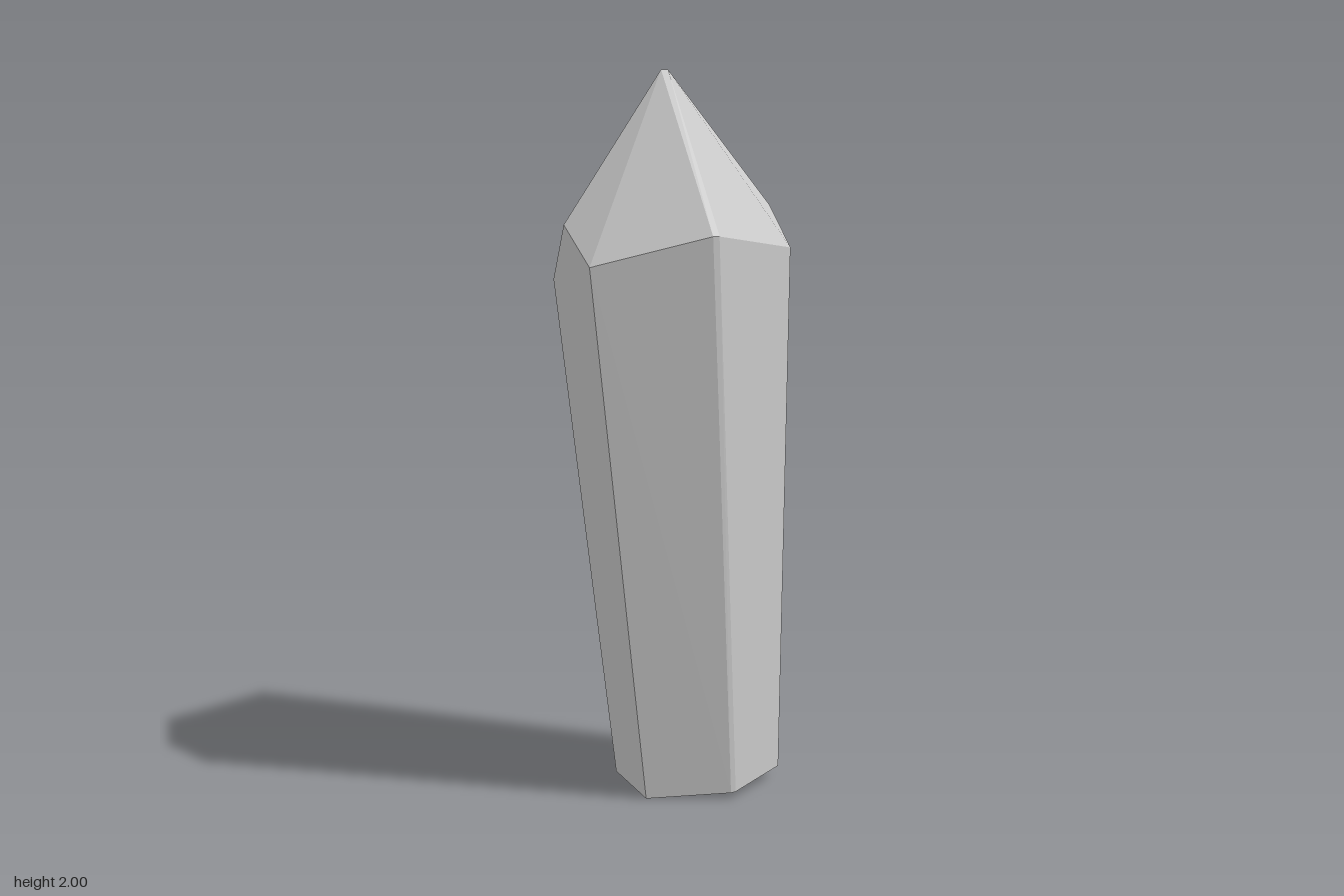
import * as THREE from 'three';
import { ConvexGeometry } from 'three/addons/geometries/ConvexGeometry.js';

// Leaning six-sided crystal: a convex solid defined by its rings of corners.
export function createModel() {
  // Slanted foot; front and back corners are doubled to give a narrow worn edge
  const foot = [
    [0.107, 0.02, 0.24], [0.122, 0.021, 0.239],
    [0.306, 0.035, 0.137], [0.306, 0.035, -0.09],
    [0.12, 0.021, -0.262], [0.103, 0.02, -0.265],
    [-0.108, 0, -0.09], [-0.108, 0, 0.14],
  ];
  // Shoulder where the shaft meets the point
  const shoulder = [
    [-0.006, 1.57, 0.348], [0.012, 1.57, 0.348],
    [0.287, 1.53, 0.21], [0.285, 1.48, -0.1],
    [0.015, 1.53, -0.341], [-0.004, 1.53, -0.348],
    [-0.282, 1.44, -0.1], [-0.292, 1.49, 0.21],
  ];
  // Peaks of the two side faces, and the short ridge at the tip
  const sidePeaks = [[0.292, 1.64, 0.072], [-0.312, 1.595, 0.072]];
  const tip = [[-0.035, 2, 0.074], [-0.016, 2, 0.077]];

  const points = [...foot, ...shoulder, ...sidePeaks, ...tip]
    .map(([x, y, z]) => new THREE.Vector3(x, y, z));

  const crystal = new THREE.Mesh(
    new ConvexGeometry(points),
    new THREE.MeshStandardMaterial({ color: 0xcccccc, flatShading: true })
  );
  crystal.name = 'crystal';

  const group = new THREE.Group();
  group.name = 'crystalShard';
  group.add(crystal);
  return group;
}
